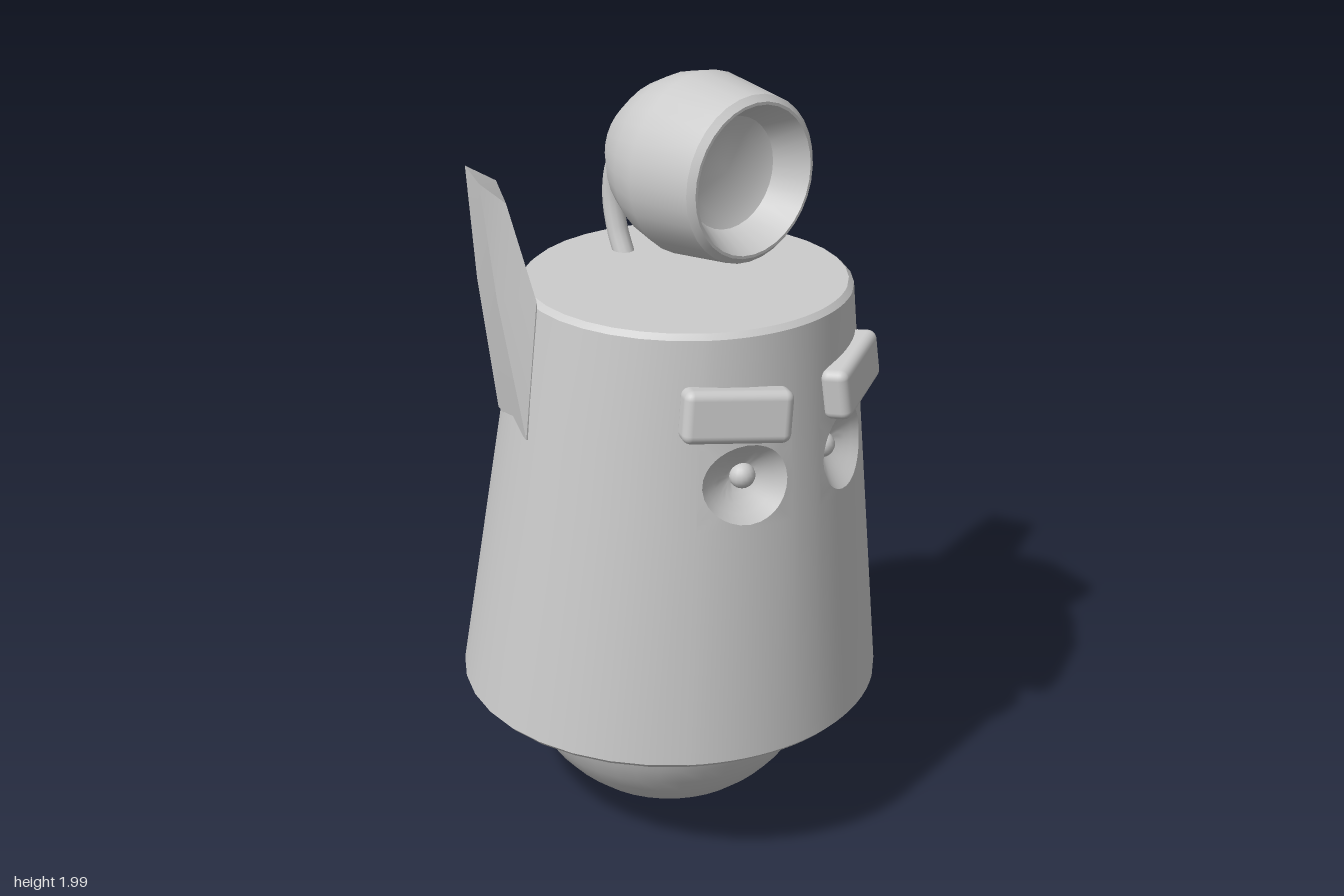
import * as THREE from 'three';
import { toCreasedNormals } from 'three/addons/utils/BufferGeometryUtils.js';
import { RoundedBoxGeometry } from 'three/addons/geometries/RoundedBoxGeometry.js';

const grey = new THREE.MeshStandardMaterial({ color: 0xcccccc });
const V = (x, y, z) => new THREE.Vector3(x, y, z);

function add(parent, name, geometry) {
  const mesh = new THREE.Mesh(geometry, grey);
  mesh.name = name;
  parent.add(mesh);
  return mesh;
}

// Collects quads (corners counter-clockwise from outside) into one geometry.
function quadBuilder() {
  const pos = [];
  return {
    quad(a, b, c, d, flip = false) {
      const order = flip ? [a, c, b, a, d, c] : [a, b, c, a, c, d];
      order.forEach((p) => pos.push(p.x, p.y, p.z));
    },
    build(crease) {
      const g = new THREE.BufferGeometry();
      g.setAttribute('position', new THREE.Float32BufferAttribute(pos, 3));
      return toCreasedNormals(g, crease);
    },
  };
}

// Leaning cone wall: radius shrinks and the centre moves forward with height.
const Y0 = 0.38, Y1 = 1.485;
const wallRadius = (y) => THREE.MathUtils.lerp(0.547, 0.407, (y - Y0) / (Y1 - Y0));
const onBody = (angle, y, r = wallRadius(y)) =>
  V(r * Math.sin(angle), y, r * Math.cos(angle) + 0.065 * (y - Y0) / (Y1 - Y0));

const EYE = { x: 0.16, y: 1.11, r: 0.1 };
const WIN = { a0: 0.1, a1: 0.63, y0: 1.0, y1: 1.22, n: 8 };

function bodyGeometry() {
  const b = quadBuilder();
  // Columns line up with the eye windows on both sides of the front.
  const angles = [];
  const span = (from, to, n) => {
    for (let i = 0; i < n; i++) angles.push(from + ((to - from) * i) / n);
  };
  span(-WIN.a1, -WIN.a0, WIN.n);
  span(-WIN.a0, WIN.a0, 4);
  span(WIN.a0, WIN.a1, WIN.n);
  span(WIN.a1, 2 * Math.PI - WIN.a1, 28);
  angles.push(2 * Math.PI - WIN.a1);
  const rows = [
    [0, Y0], [0.535, Y0], [wallRadius(0.392), 0.392], [wallRadius(WIN.y0), WIN.y0],
    [wallRadius(WIN.y1), WIN.y1], [wallRadius(1.472), 1.472], [0.395, Y1], [0, Y1],
  ];
  for (let j = 0; j < rows.length - 1; j++) {
    const [r0, y0] = rows[j], [r1, y1] = rows[j + 1];
    for (let i = 0; i < angles.length - 1; i++) {
      const inWindow = j === 3 && (i < WIN.n || (i >= WIN.n + 4 && i < 2 * WIN.n + 4));
      if (inWindow) continue;
      const [p, q] = [angles[i], angles[i + 1]];
      b.quad(onBody(p, y0, r0), onBody(q, y0, r0), onBody(q, y1, r1), onBody(p, y1, r1));
    }
  }
  // Each window: a surround leading to a round rim, then a hollow eye socket.
  for (const s of [1, -1]) {
    const loops = [[], [], [], [], [], [], []];
    const n = WIN.n;
    for (let k = 0; k < 4 * n; k++) {
      const t = (2 * (k % n)) / n - 1;
      const [u, v] = [[t, -1], [1, t], [-t, 1], [-1, -t]][Math.floor(k / n)];
      const a = THREE.MathUtils.lerp(WIN.a0, WIN.a1, (u + 1) / 2);
      loops[0].push(onBody(s * a, THREE.MathUtils.lerp(WIN.y0, WIN.y1, (v + 1) / 2)));
      const len = Math.hypot(u, v);
      const x = EYE.x + (EYE.r * u) / len, y = EYE.y + (EYE.r * v) / len;
      const rim = onBody(s * Math.asin(x / wallRadius(y)), y);
      loops[1].push(rim);
      const floor = V(s * 0.15, EYE.y, 0.4);
      for (let m = 1; m <= 5; m++) {
        const f = m / 5, p = rim.clone().lerp(floor, f);
        p.z = THREE.MathUtils.lerp(rim.z, floor.z, 1 - (1 - f) ** 1.6);
        loops[m + 1].push(p);
      }
    }
    for (let m = 0; m < loops.length - 1; m++) {
      for (let k = 0; k < 4 * n; k++) {
        const k2 = (k + 1) % (4 * n);
        b.quad(loops[m][k], loops[m][k2], loops[m + 1][k2], loops[m + 1][k], s < 0);
      }
    }
  }
  return b.build(0.6);
}

// Ear: four-cornered sections (outer back, outer front, inner front, inner back).
function earGeometry(s) {
  const sections = [
    [[0.38, 1.15, -0.21], [0.45, 1.15, -0.005], [0.38, 1.15, 0], [0.3, 1.15, -0.19]],
    [[0.41, 1.49, -0.237], [0.47, 1.49, -0.075], [0.4, 1.49, -0.015], [0.29, 1.49, -0.225]],
    [[0.41, 1.765, -0.268], [0.47, 1.765, -0.13], [0.42, 1.715, -0.095], [0.33, 1.715, -0.255]],
  ].map((ring) => ring.map(([x, y, z]) => V(s * x, y, z)));
  const b = quadBuilder();
  for (let j = 0; j < 2; j++) {
    for (let i = 0; i < 4; i++) {
      const k = (i + 1) % 4;
      b.quad(sections[j][i], sections[j + 1][i], sections[j + 1][k], sections[j][k], s < 0);
    }
  }
  const [bottom, , top] = sections;
  b.quad(top[3], top[2], top[1], top[0], s < 0);
  b.quad(...bottom, s < 0);
  return b.build(0.3);
}

export function createModel() {
  const model = new THREE.Group();
  model.name = 'robot';

  add(model, 'body', bodyGeometry());

  // Ball the body floats on
  add(model, 'baseBall', new THREE.SphereGeometry(0.41, 40, 24)).position.y = 0.418;

  // Lamp, turned around the z axis, with a stepped hollow at its front
  const lampProfile = [
    [0, -0.1], [0.118, -0.1], [0.172, -0.03], [0.205, 0.04], [0.222, 0.115], [0.2, 0.288],
    [0.185, 0.303], [0.178, 0.303], [0.135, 0.22], [0.1, 0.205], [0, 0.205],
  ].map(([r, z]) => new THREE.Vector2(r, z));
  const lamp = add(model, 'lamp', toCreasedNormals(new THREE.LatheGeometry(lampProfile, 32), 0.5));
  lamp.rotation.x = Math.PI / 2;
  lamp.position.y = 1.777;

  // Bent stalk from the body top to the back of the lamp
  const stalk = new THREE.CatmullRomCurve3([
    V(0, 1.775, -0.07), V(0, 1.765, -0.14), V(0, 1.715, -0.195),
    V(0, 1.63, -0.215), V(0, 1.54, -0.2), V(0, 1.46, -0.165),
  ]);
  add(model, 'lampStalk', new THREE.TubeGeometry(stalk, 24, 0.027, 12));

  for (const [side, s] of [['left', 1], ['right', -1]]) {
    add(model, side + 'Ear', earGeometry(s));

    const pupil = add(model, side + 'Pupil', new THREE.SphereGeometry(0.032, 16, 12));
    pupil.position.set(s * 0.133, EYE.y, 0.415);

    const brow = add(model, side + 'Brow', new RoundedBoxGeometry(0.262, 0.128, 0.07, 3, 0.022));
    brow.position.set(s * 0.187, 1.292, 0.45);
    brow.rotation.set(-0.1, s * 0.47, s * 0.09, 'YXZ');
  }
  return model;
}
